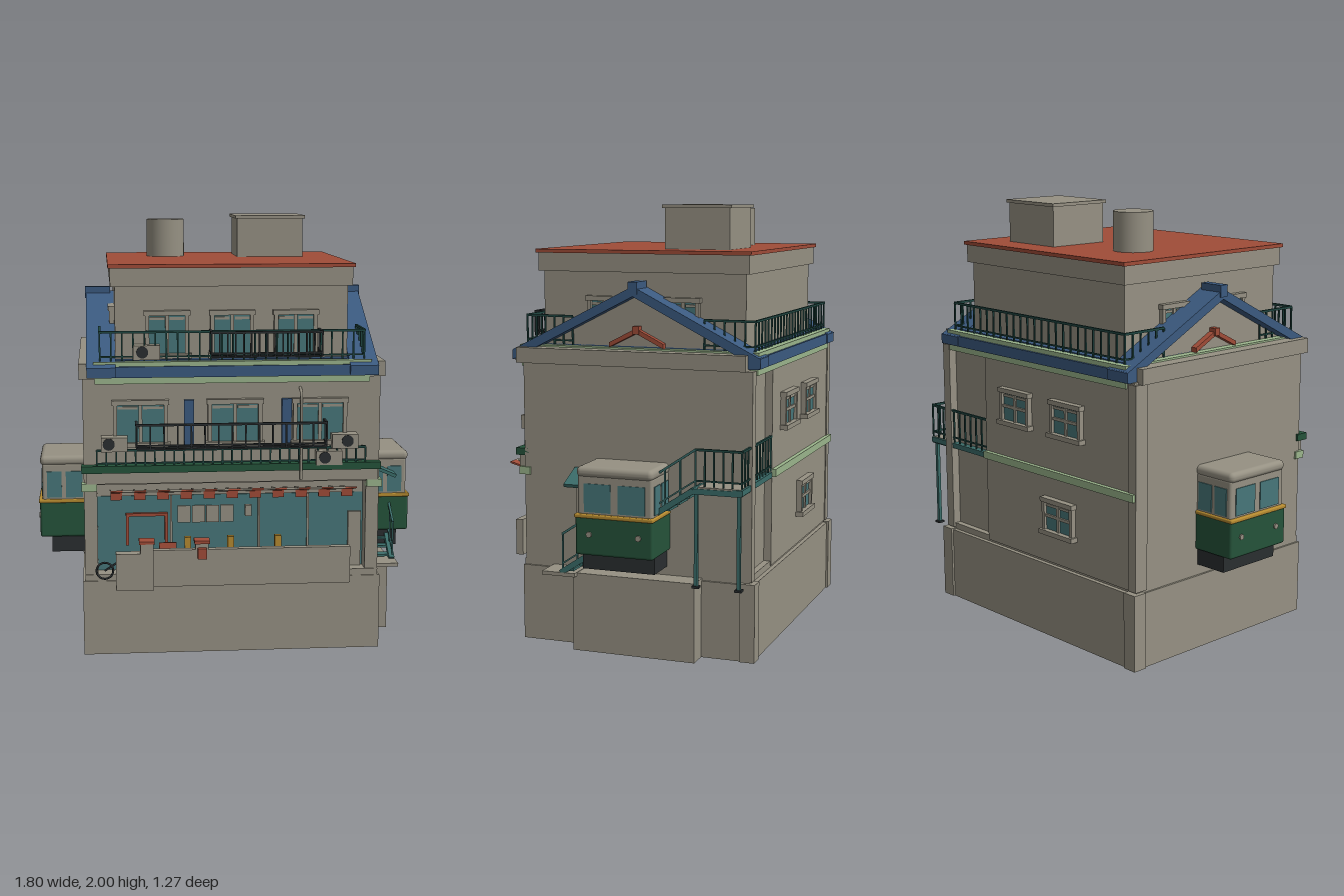
import * as THREE from 'three';
import { RoundedBoxGeometry } from 'three/addons/geometries/RoundedBoxGeometry.js';

const mat = (name, color) => Object.assign(new THREE.MeshStandardMaterial({ color }), { name });
const stone = mat('stone', 0x969183), red = mat('roofRed', 0xa04c38), blue = mat('blue', 0x3b5a80),
  mint = mat('mint', 0x9bb58c), green = mat('darkGreen', 0x25533a), glass = mat('glass', 0x47777a),
  steel = mat('stairTeal', 0x3b6d6a), yellow = mat('yellow', 0xb58a30), black = mat('charcoal', 0x2a2e30),
  iron = mat('railGreen', 0x1f4641);

export function createModel() {
  const root = new THREE.Group();
  root.name = 'house';
  const add = (name, geo, m, parent = root) => {
    const mesh = new THREE.Mesh(geo, m);
    mesh.name = name;
    parent.add(mesh);
    return mesh;
  };
  // box from its limits
  const box = (name, m, x0, x1, y0, y1, z0, z1, parent = root) => {
    const mesh = add(name, new THREE.BoxGeometry(x1 - x0, y1 - y0, z1 - z0), m, parent);
    mesh.position.set((x0 + x1) / 2, (y0 + y1) / 2, (z0 + z1) / 2);
    return mesh;
  };
  // thin square bar between two points
  const bar = (name, m, a, b, t = 0.008, parent = root) => {
    const p = new THREE.Vector3(...a), q = new THREE.Vector3(...b);
    const mesh = add(name, new THREE.BoxGeometry(t, t, p.distanceTo(q)), m, parent);
    mesh.position.copy(p).add(q).multiplyScalar(0.5);
    mesh.lookAt(q);
    return mesh;
  };
  // railing whose foot runs from a to b
  const railing = (name, m, a, b, h, n, t = 0.007) => {
    const g = new THREE.Group();
    g.name = name;
    root.add(g);
    const up = (p, k) => [p[0], p[1] + h * k, p[2]];
    bar('topRail', m, up(a, 1), up(b, 1), t * 1.5, g);
    bar('lowRail', m, up(a, 0.15), up(b, 0.15), t, g);
    for (let i = 0; i <= n; i++) {
      const p = a.map((v, k) => v + (b[k] - v) * i / n);
      bar('post', m, p, up(p, 1), t, g);
    }
  };
  // framed window facing +z, then turned
  const windowUnit = (w, h, x, y, z, turn = 0, cross = false) => {
    const g = new THREE.Group();
    g.name = 'window';
    g.position.set(x, y, z);
    g.rotation.y = turn;
    root.add(g);
    const a = w / 2, b = h / 2, f = 0.018;
    box('pane', glass, -a, a, -b, b, -0.01, 0.006, g);
    for (const s of [-1, 1]) {
      box('jamb', stone, s * a - f / 2, s * a + f / 2, -b, b, -0.01, 0.02, g);
      box('sash', stone, s * a / 2 - a / 2 + 0.012, s * a / 2 + a / 2 - 0.012, b - 0.03, b - 0.018, 0, 0.012, g);
    }
    box('mullion', stone, -0.008, 0.008, -b, b, 0, 0.014, g);
    box('lintel', stone, -a - 0.015, a + 0.015, b - 0.01, b + 0.012, -0.01, 0.026, g);
    box('sill', stone, -a - 0.02, a + 0.02, -b - 0.014, -b + 0.008, -0.01, 0.032, g);
    if (cross) box('transom', stone, -a, a, -0.007, 0.007, 0, 0.014, g);
  };
  // outline in z and y, extruded inward from x
  const profile = (name, m, pts, x, depth) => {
    const s = new THREE.Shape(pts.map(p => new THREE.Vector2(...p)));
    const mesh = add(name, new THREE.ExtrudeGeometry(s, { depth, bevelEnabled: false }), m);
    mesh.rotation.y = -Math.PI / 2;
    mesh.position.x = x;
  };

  // plinth with side block
  box('plinth', stone, -0.69, 0.69, 0, 0.35, -0.62, 0.49);
  box('sideBlock', stone, 0.6, 0.785, 0, 0.36, -0.38, 0.2);
  box('plinthTop', stone, -0.68, 0.68, 0.35, 0.38, -0.6, 0.485);
  for (const x of [-0.665, 0.665]) box('plinthPier', stone, x - 0.035, x + 0.035, 0, 0.355, -0.63, -0.56);

  // main body with recessed shop front
  box('lowerBody', stone, -0.68, 0.68, 0.36, 0.82, -0.57, 0.4);
  box('upperBody', stone, -0.68, 0.68, 0.8, 1.35, -0.57, 0.48);
  box('backWall', stone, -0.67, 0.36, 0.36, 1.3, -0.605, -0.55);
  for (const s of [-1, 1]) {
    box('shopPillar', stone, s * 0.65 - 0.03, s * 0.65 + 0.03, 0.36, 0.82, 0.35, 0.48);
    box('capital', mint, s * 0.655 - 0.035, s * 0.655 + 0.035, 0.775, 0.81, 0.45, 0.505);
    box('sideCap', stone, s * 0.66 - 0.036, s * 0.66 + 0.036, 1.29, 1.36, -0.58, 0.51);
    box('backPier', stone, s * 0.66 - 0.025, s * 0.66 + 0.025, 0.36, 1.29, -0.61, -0.54);
  }
  box('backBand', mint, -0.68, 0.36, 0.775, 0.81, -0.625, -0.6);
  windowUnit(0.19, 0.15, 0.12, 1.06, -0.61, Math.PI, true);
  windowUnit(0.19, 0.15, -0.24, 1.06, -0.61, Math.PI, true);
  windowUnit(0.19, 0.15, -0.18, 0.59, -0.61, Math.PI, true);

  // shop glazing and furnishings
  box('shopGlass', glass, -0.62, 0.62, 0.38, 0.73, 0.395, 0.405);
  for (const x of [-0.28, 0.13, 0.36]) box('glazingBar', stone, x - 0.005, x + 0.005, 0.38, 0.73, 0.4, 0.415);
  box('shopDoor', stone, 0.55, 0.61, 0.38, 0.64, 0.405, 0.42);
  for (const x of [-0.49, -0.31]) box('redJamb', red, x, x + 0.014, 0.5, 0.65, 0.405, 0.425);
  box('redLintel', red, -0.49, -0.296, 0.636, 0.65, 0.405, 0.425);
  for (let i = 0; i < 4; i++) box('menuSheet', stone, -0.25 + i * 0.067, -0.19 + i * 0.067, 0.6, 0.68, 0.405, 0.412);
  box('lantern', stone, 0.06, 0.09, 0.64, 0.69, 0.44, 0.47);
  for (const x of [-0.22, -0.02, 0.2]) box('stool', yellow, x, x + 0.03, 0.38, 0.54, 0.43, 0.46);
  box('signBoard', red, -0.34, -0.26, 0.37, 0.53, 0.5, 0.52).rotation.x = -0.15;

  // garden wall
  box('gardenWall', stone, -0.37, 0.53, 0.35, 0.52, 0.57, 0.605);
  box('wallEnd', stone, -0.54, -0.37, 0.34, 0.51, 0.57, 0.625);
  box('gatePost', stone, -0.43, -0.37, 0.34, 0.56, 0.565, 0.63);
  box('gateCap', red, -0.435, -0.365, 0.555, 0.568, 0.56, 0.632);
  box('mailPost', stone, -0.18, -0.12, 0.5, 0.56, 0.565, 0.61);
  box('mailBox', red, -0.17, -0.13, 0.48, 0.53, 0.6, 0.632);
  box('mailCap', red, -0.185, -0.115, 0.55, 0.565, 0.56, 0.625);

  // bicycle seen end to end
  for (const x of [-0.59, -0.48]) {
    const w = add('bicycleWheel', new THREE.TorusGeometry(0.038, 0.005, 6, 20), black);
    w.position.set(x, 0.41, 0.53);
  }
  bar('bicycleFrame', black, [-0.59, 0.41, 0.53], [-0.5, 0.47, 0.53]);
  bar('bicycleFork', black, [-0.48, 0.41, 0.53], [-0.5, 0.49, 0.53]);

  // striped awning
  for (let i = 0; i < 21; i++) {
    const x = -0.56 + i * 0.053, even = i % 2 === 0;
    bar('awningArm', stone, [x, 0.775, 0.48], [x, 0.8, 0.6], 0.006);
    const s = box('awningStripe', even ? red : stone, x, x + 0.053, -0.004, 0.004, -0.055, 0.055);
    s.position.y = 0.785; s.position.z = 0.565; s.rotation.x = -0.25;
    box('valance', even ? red : stone, x, x + 0.053, even ? 0.735 : 0.755, 0.775, 0.505, 0.513);
  }

  // first floor balcony
  box('balconySlab', stone, -0.67, 0.67, 0.81, 0.865, 0.46, 0.51);
  box('balconyBand', green, -0.69, 0.68, 0.862, 0.895, 0.46, 0.525);
  railing('balconyRail', iron, [-0.62, 0.895, 0.51], [0.61, 0.895, 0.51], 0.07, 28);
  for (const x of [-0.42, 0.01, 0.4]) windowUnit(0.23, 0.19, x, 1.085, 0.485);
  for (const x of [-0.2, 0.247]) box('shutter', blue, x - 0.022, x + 0.022, 0.98, 1.19, 0.48, 0.5);
  const basket = (x0, x1, y, z0, z1, h) => {
    railing('basketFront', black, [x0, y, z1], [x1, y, z1], h, 14);
    for (const x of [x0, x1]) railing('basketSide', black, [x, y, z0], [x, y, z1], h, 2);
    for (let i = 0; i < 3; i++) bar('basketFloor', black, [x0, y, z1 - i * 0.035], [x1, y, z1 - i * 0.035], 0.007);
  };
  basket(-0.44, 0.42, 0.98, 0.48, 0.575, 0.11);
  basket(-0.1, 0.4, 1.39, 0.44, 0.55, 0.11);
  // cooling units with round fans
  for (const [x, y, z, f] of [[-0.54, 1.0, 0.52, -0.025], [0.51, 1.0, 0.52, 0.01], [0.44, 0.92, 0.5, -0.02], [-0.39, 1.41, 0.48, -0.02]]) {
    box('coolingUnit', stone, x - 0.06, x + 0.06, y - 0.035, y + 0.03, z - 0.045, z + 0.03);
    const fan = add('fan', new THREE.CylinderGeometry(0.027, 0.027, 0.008, 16), black);
    fan.rotation.x = Math.PI / 2;
    fan.position.set(x + f, y, z + 0.031);
  }
  // front pipe
  const pipe = new THREE.CatmullRomCurve3([[0.31, 0.82, 0.53], [0.31, 1.15, 0.53], [0.31, 1.22, 0.52], [0.31, 1.24, 0.47]].map(p => new THREE.Vector3(...p)));
  add('pipe', new THREE.TubeGeometry(pipe, 16, 0.007, 8), stone);

  // eaves and terrace floor
  for (const [a, b, c] of [[0.47, 0.53, 0.515], [-0.63, -0.56, -0.615]]) {
    const f = Math.sign(a), inner = f > 0 ? a : b;
    box('eaves', blue, -0.66, 0.66, 1.298, 1.348, a, b);
    box('lowerMoulding', mint, -0.625, 0.625, 1.268, 1.3, Math.min(inner, c), Math.max(inner, c));
  }
  box('upperMoulding', mint, -0.63, 0.63, 1.345, 1.368, -0.62, 0.52);
  box('terraceFloor', blue, -0.59, 0.59, 1.36, 1.373, -0.585, 0.485);
  railing('terraceFrontRail', iron, [-0.6, 1.37, 0.495], [0.6, 1.37, 0.495], 0.13, 24);
  railing('terraceBackRail', iron, [-0.6, 1.37, -0.595], [0.6, 1.37, -0.595], 0.13, 24);

  // top storey
  box('topStorey', stone, -0.53, 0.53, 1.36, 1.72, -0.53, 0.44);
  box('parapet', stone, -0.55, 0.55, 1.7, 1.785, -0.55, 0.46);
  box('roof', red, -0.56, 0.56, 1.783, 1.8, -0.56, 0.47);
  for (const x of [-0.295, 0, 0.29]) windowUnit(0.18, 0.19, x, 1.485, 0.445);
  box('roofHut', stone, 0.075, 0.395, 1.8, 1.985, -0.41, -0.1);
  box('roofHutCap', stone, 0.065, 0.405, 1.985, 2, -0.42, -0.09);
  add('waterTank', new THREE.CylinderGeometry(0.092, 0.092, 0.18, 32), stone).position.set(-0.27, 1.89, -0.23);

  // side gables with small red crest
  const chevron = (l, r, y0, y1, t) => [[l, y0], [(l + r) / 2, y1], [r, y0], [r, y0 - t], [(l + r) / 2, y1 - t], [l, y0 - t]].reverse();
  for (const s of [-1, 1]) {
    const at = (x, d) => (s > 0 ? x : -x + d);
    profile('gableRoof', blue, chevron(0.545, -0.635, 1.345, 1.645, 0.045), at(0.66, 0.13), 0.13);
    profile('gableWall', stone, [[0.45, 1.36], [-0.54, 1.36], [-0.045, 1.61]], at(0.59, 0.06), 0.06);
    profile('crest', red, chevron(0.085, -0.175, 1.39, 1.455, 0.022), at(0.62, 0.04), 0.04);
    box('crestRidge', red, s * 0.605 - 0.022, s * 0.605 + 0.022, 1.43, 1.465, -0.06, -0.03);
    box('gableRidge', blue, s * 0.605 - 0.06, s * 0.605 + 0.06, 1.61, 1.665, -0.068, -0.024);
    for (const z of [0.14, -0.24]) windowUnit(0.14, 0.18, s * 0.533, 1.49, z, s * Math.PI / 2);
    railing('terraceSideRail', iron, [s * 0.6, 1.37, 0.495], [s * 0.6, 1.37, 0.27], 0.13, 5);
    railing('terraceSideRail', iron, [s * 0.6, 1.37, -0.595], [s * 0.6, 1.37, -0.36], 0.13, 5);
  }

  // tram cabs emerging from both side walls
  for (const s of [-1, 1]) {
    const g = new THREE.Group();
    g.name = 'tramCab';
    g.position.z = -0.045;
    g.rotation.y = s > 0 ? 0 : Math.PI;
    root.add(g);
    const round = (name, m, x1, y0, y1, w, r) => add(name, new RoundedBoxGeometry(x1 - 0.6, y1 - y0, w * 2, 3, r), m, g)
      .position.set((x1 + 0.6) / 2, (y0 + y1) / 2, 0);
    box('underframe', black, 0.6, 0.84, 0.4, 0.5, -0.17, 0.17, g);
    round('lowerPanel', green, 0.895, 0.475, 0.65, 0.183, 0.012);
    round('stripe', yellow, 0.9, 0.642, 0.66, 0.186, 0.006);
    round('cabin', stone, 0.883, 0.64, 0.835, 0.176, 0.012);
    round('cabRoof', stone, 0.892, 0.822, 0.87, 0.18, 0.022);
    for (const z of [-0.08, 0.08]) {
      box('frontPane', glass, 0.88, 0.887, 0.668, 0.795, z - 0.063, z + 0.063, g);
      box('sidePane', glass, 0.69, 0.77, 0.668, 0.795, Math.sign(z) * 0.176 - 0.004, Math.sign(z) * 0.176 + 0.004, g);
      box('sidePane', glass, 0.79, 0.86, 0.668, 0.795, Math.sign(z) * 0.176 - 0.004, Math.sign(z) * 0.176 + 0.004, g);
      const lamp = add('headlamp', new THREE.CylinderGeometry(0.013, 0.013, 0.012, 12), stone, g);
      lamp.rotation.z = Math.PI / 2;
      lamp.position.set(0.896, 0.57, z * 1.45);
    }
  }

  // outside stair, landing and legs
  box('stairFoot', stone, 0.68, 0.81, 0.345, 0.362, 0.18, 0.34);
  for (const x of [0.695, 0.795]) bar('stringer', steel, [x, 0.36, 0.25], [x, 0.78, -0.38], 0.026);
  for (let i = 0; i < 14; i++) {
    const z = 0.24 - i * 0.046, y = 0.37 + i * 0.031;
    box('tread', steel, 0.69, 0.8, y, y + 0.01, z - 0.05, z);
  }
  box('landing', steel, 0.66, 0.81, 0.765, 0.79, -0.6, -0.38);
  box('landingDeck', stone, 0.66, 0.805, 0.79, 0.797, -0.595, -0.4);
  box('backWalk', steel, 0.36, 0.81, 0.77, 0.795, -0.605, -0.56);
  railing('stairRail', steel, [0.8, 0.38, 0.24], [0.8, 0.8, -0.39], 0.16, 9);
  railing('landingRail', iron, [0.8, 0.8, -0.39], [0.8, 0.8, -0.6], 0.16, 5);
  railing('backWalkRail', iron, [0.8, 0.8, -0.6], [0.36, 0.8, -0.6], 0.16, 10);
  for (const z of [-0.39, -0.585]) {
    box('landingLeg', steel, 0.782, 0.798, 0.35, 0.77, z - 0.008, z + 0.008);
    box('legFoot', black, 0.774, 0.806, 0.345, 0.355, z - 0.016, z + 0.016);
  }
  // side door under a sloped canopy
  box('sideDoor', stone, 0.67, 0.69, 0.38, 0.74, 0.14, 0.22);
  const canopy = box('canopy', steel, -0.07, 0.07, -0.008, 0.008, -0.045, 0.045);
  canopy.position.set(0.75, 0.79, 0.182);
  canopy.rotation.z = -0.4;
  return root;
}
